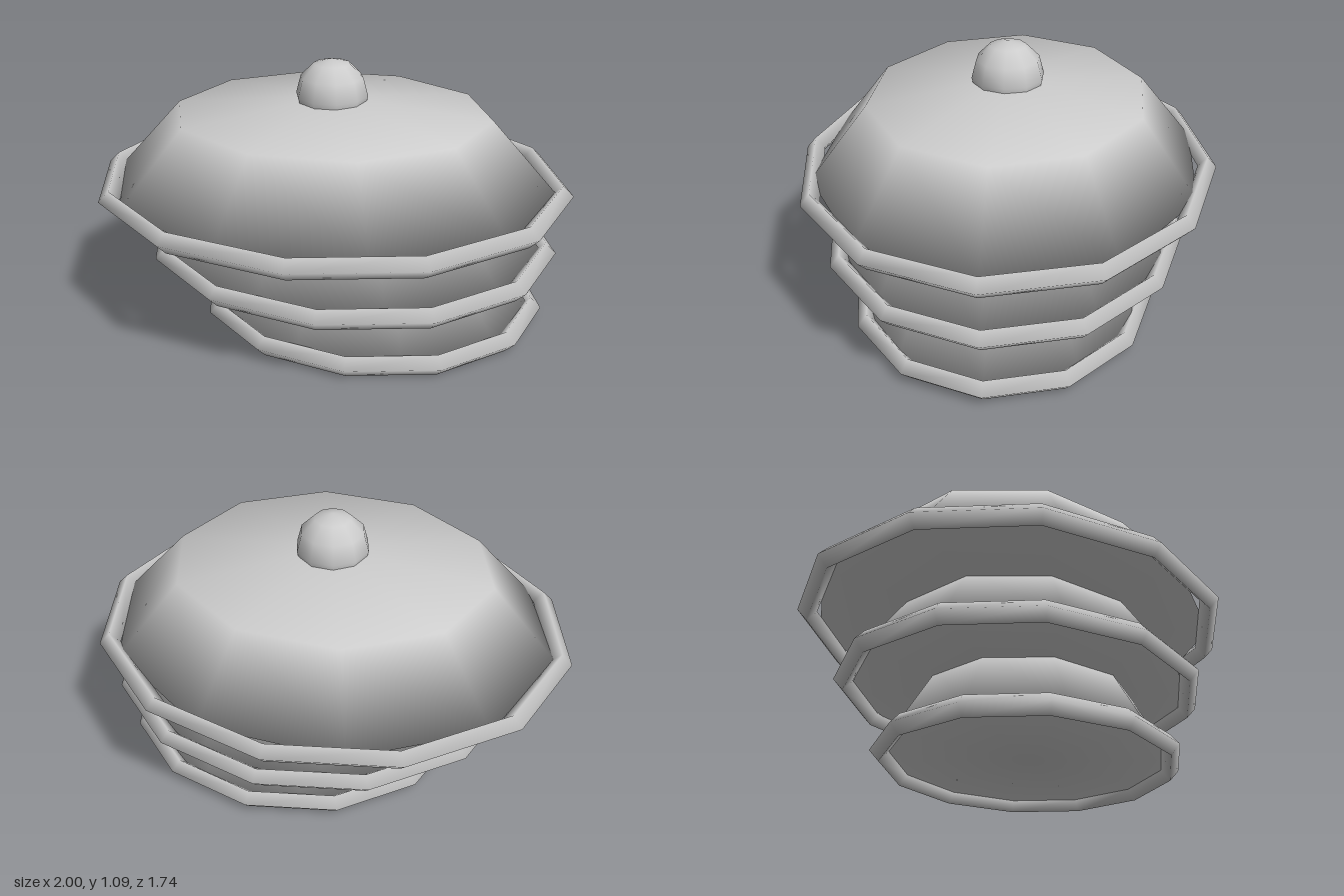
import * as THREE from 'three';
import { mergeVertices } from 'three/addons/utils/BufferGeometryUtils.js';

// Ten-sided closed body of revolution, softly shaded across its edges
function softLathe(profile, sides) {
  const points = profile.map(([r, y]) => new THREE.Vector2(r, y));
  const lathe = new THREE.LatheGeometry(points, sides, Math.PI / 2);
  lathe.deleteAttribute('uv');
  lathe.deleteAttribute('normal');
  const geometry = mergeVertices(lathe, 1e-4);
  geometry.computeVertexNormals();
  return geometry;
}

export function createModel() {
  const group = new THREE.Group();
  const grey = new THREE.MeshStandardMaterial({ color: 0xcccccc });
  grey.name = 'plain grey';
  const depth = 0.87; // plan is a slightly squashed circle
  const tube = 0.044;

  const add = (parent, name, geometry) => {
    const mesh = new THREE.Mesh(geometry, grey);
    mesh.name = name;
    parent.add(mesh);
    return mesh;
  };

  // Three stacked tiers, the lower ones smaller and shifted sideways
  const tiers = [
    { name: 'lowerTier', radius: 0.735, x: 0.175, y: 0.045 },
    { name: 'middleTier', radius: 0.866, x: 0.085, y: 0.31 },
    { name: 'upperTier', radius: 1, x: 0, y: 0.572 },
  ];
  for (const { name, radius, x, y } of tiers) {
    const tier = new THREE.Group();
    tier.name = name;
    tier.position.set(x, y, 0);
    tier.scale.z = depth;
    group.add(tier);

    // Domed body with sloping sides and closed underside
    add(tier, 'dome', softLathe([
      [0, 0], [0.935 * radius, 0], [0.66 * radius, 0.3], [0, 0.368],
    ], 10));

    // Angular rim around the foot of the dome
    const rim = new THREE.TorusGeometry(radius - tube, tube, 4, 12);
    rim.rotateX(Math.PI / 2);
    add(tier, 'rim', rim);
  }

  // Knob on the top
  const knob = add(group, 'knob', new THREE.SphereGeometry(0.15, 10, 6));
  knob.position.y = 0.945;

  return group;
}
